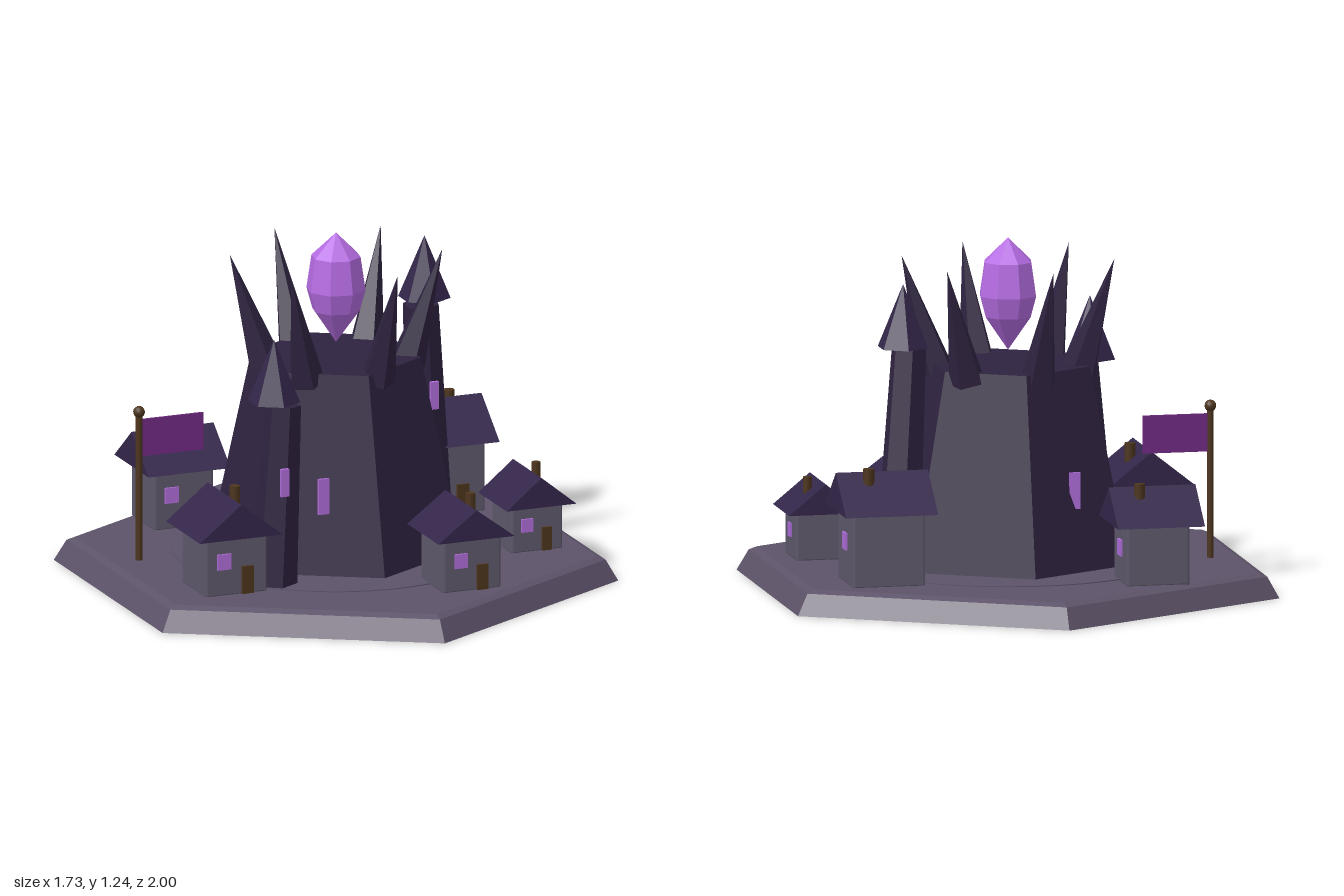
import * as THREE from 'three';
import { RoundedBoxGeometry } from 'three/addons/geometries/RoundedBoxGeometry.js';

const mat = (name, color, extra = {}) => {
  const m = new THREE.MeshStandardMaterial({ color, ...extra });
  m.name = name;
  return m;
};

export function createModel() {
  const flat = { flatShading: true };
  const ground = mat('ground stone', 0x5d5369, flat);
  const dark = mat('dark stone', 0x2f2340, flat);
  const roofMat = mat('roof slate', 0x33264a, flat);
  const wall = mat('house wall', 0x5e586b, flat);
  const glow = mat('window glow', 0xad6cd8);
  const crystalMat = mat('crystal', 0xb56ce2, flat);
  const wood = mat('wood', 0x4d351d);
  const cloth = mat('banner cloth', 0x702a82, { side: THREE.DoubleSide });

  const model = new THREE.Group();
  model.name = 'darkFortress';
  const add = (parent, name, geo, material, x = 0, y = 0, z = 0) => {
    const m = new THREE.Mesh(geo, material);
    m.name = name;
    m.position.set(x, y, z);
    parent.add(m);
    return m;
  };
  const box = (w, h, d) => new THREE.BoxGeometry(w, h, d);
  const UP = new THREE.Vector3(0, 1, 0);

  // Tapered column between two points
  const column = (parent, name, from, to, rBottom, rTop, sides, material) => {
    const a = new THREE.Vector3(...from), b = new THREE.Vector3(...to);
    const dir = b.clone().sub(a);
    const m = add(parent, name, new THREE.CylinderGeometry(rTop, rBottom, dir.length(), sides), material);
    m.position.copy(a).add(b).multiplyScalar(0.5);
    m.quaternion.setFromUnitVectors(UP, dir.normalize());
    return m;
  };

  // Hexagonal ground slab with bevelled rim, and a low round court
  const G = 0.087;
  const slab = [[0, 0], [1, 0], [0.955, 0.075], [0.925, G], [0, G]].map(p => new THREE.Vector2(...p));
  add(model, 'groundSlab', new THREE.LatheGeometry(slab, 6), ground);
  add(model, 'court', new THREE.CylinderGeometry(0.58, 0.58, 0.005, 64), ground, 0, G + 0.001, 0);

  // Keep with three window slits
  const keep = new THREE.Group();
  keep.name = 'keep';
  model.add(keep);
  add(keep, 'keepWalls', new THREE.CylinderGeometry(0.3, 0.45, 0.705, 6), dark, 0, G + 0.3505, 0);
  for (const [x, z] of [[0.35, 0.018], [-0.18, 0.32], [-0.175, -0.295]])
    add(keep, 'keepWindow', box(0.04, 0.13, 0.01), glow, x, 0.375, z);

  // Crown of outward-leaning spikes
  for (let i = 0; i < 6; i++) {
    const a = THREE.MathUtils.degToRad(12.8 + i * 60);
    const s = Math.sin(a), c = Math.cos(a);
    column(keep, 'spike', [0.25 * s, 0.755, 0.25 * c], [0.375 * s, 1.165, 0.375 * c], 0.066, 0, 5, dark);
  }

  // Floating crystal
  const gem = [[0, 0.835], [0.085, 0.955], [0.106, 1.03], [0.088, 1.15], [0, 1.235]]
    .map(p => new THREE.Vector2(...p));
  const crystal = add(model, 'crystal', new THREE.LatheGeometry(gem, 8), crystalMat);
  crystal.rotation.y = 0.2;

  // Two leaning side towers with upright pointed caps
  const towers = [
    { from: [0.455, G, -0.25], to: [0.395, 0.885, -0.175], cap: [0.425, 0.895, -0.215], win: [0.42, 0.563, -0.112] },
    { from: [-0.38, G, 0.345], to: [-0.335, 0.73, 0.325], cap: [-0.362, 0.74, 0.305], win: [-0.365, 0.47, 0.41] },
  ];
  for (const t of towers) {
    const g = new THREE.Group();
    g.name = 'sideTower';
    model.add(g);
    column(g, 'towerShaft', t.from, t.to, 0.084, 0.063, 6, dark);
    add(g, 'towerCap', new THREE.ConeGeometry(0.093, 0.225, 6), roofMat, t.cap[0], t.cap[1] + 0.1125, t.cap[2]);
    add(g, 'towerWindow', box(0.03, 0.1, 0.015), glow, ...t.win);
  }

  // Gabled roof prism, ridge along z, resting on y = 0
  const gable = (w, h, d) => {
    const s = new THREE.Shape();
    s.moveTo(-w / 2, 0);
    s.lineTo(w / 2, 0);
    s.lineTo(0, h);
    s.closePath();
    return new THREE.ExtrudeGeometry(s, { depth: d, bevelEnabled: false }).translate(0, 0, -d / 2);
  };

  // Cottages: centre, body width, wall height, roof size, roof height, whether the ridge runs along x
  const houses = [
    { x: -0.552, z: 0.31, w: 0.235, h: 0.212, r: 0.315, rh: 0.125 },
    { x: 0.232, z: 0.587, w: 0.22, h: 0.192, r: 0.29, rh: 0.108 },
    { x: 0.634, z: 0.226, w: 0.195, h: 0.167, r: 0.265, rh: 0.108 },
    { x: 0.53, z: -0.345, w: 0.26, h: 0.257, r: 0.335, rh: 0.135, turned: true },
    { x: -0.4, z: -0.535, w: 0.225, h: 0.212, r: 0.315, rh: 0.125, turned: true },
  ];
  for (const { x, z, w, h, r, rh, turned } of houses) {
    const g = new THREE.Group();
    g.name = 'cottage';
    g.position.set(x, G, z);
    model.add(g);
    const d = w * 0.95, k = r / 0.315;
    add(g, 'cottageWalls', new RoundedBoxGeometry(w, h + 0.01, d, 1, 0.008), wall, 0, h / 2, 0);
    const roof = add(g, 'cottageRoof', gable(r, rh, r * 0.99), roofMat, 0, h, 0);
    if (turned) roof.rotation.y = Math.PI / 2;
    add(g, 'chimney', new THREE.CylinderGeometry(0.019 * k, 0.019 * k, 0.09 * k, 10), wood,
      0.052 * k, h + rh - 0.03 * k, -0.032 * k);
    add(g, 'door', box(0.044 * k, 0.1 * k, 0.012), wood, 0.04 * k, 0.05 * k, d / 2 + 0.003);
    const wy = h * 0.58, ws = 0.052 * k;
    add(g, 'frontWindow', box(ws, ws * 1.1, 0.009), glow, -0.048 * k, wy, d / 2 + 0.003);
    add(g, 'sideWindow', box(0.009, ws * 1.1, ws), glow, w / 2 + 0.003, wy, 0);
  }

  // Banner on a pole
  const banner = new THREE.Group();
  banner.name = 'banner';
  banner.position.set(-0.704, 0, -0.108);
  model.add(banner);
  add(banner, 'pole', new THREE.CylinderGeometry(0.012, 0.012, 0.54, 10), wood, 0, G + 0.27, 0);
  add(banner, 'poleKnob', new THREE.SphereGeometry(0.021, 12, 8), wood, 0, 0.628, 0);
  add(banner, 'flag', box(0.235, 0.135, 0.008), cloth, 0.126, 0.533, 0);

  return model;
}
